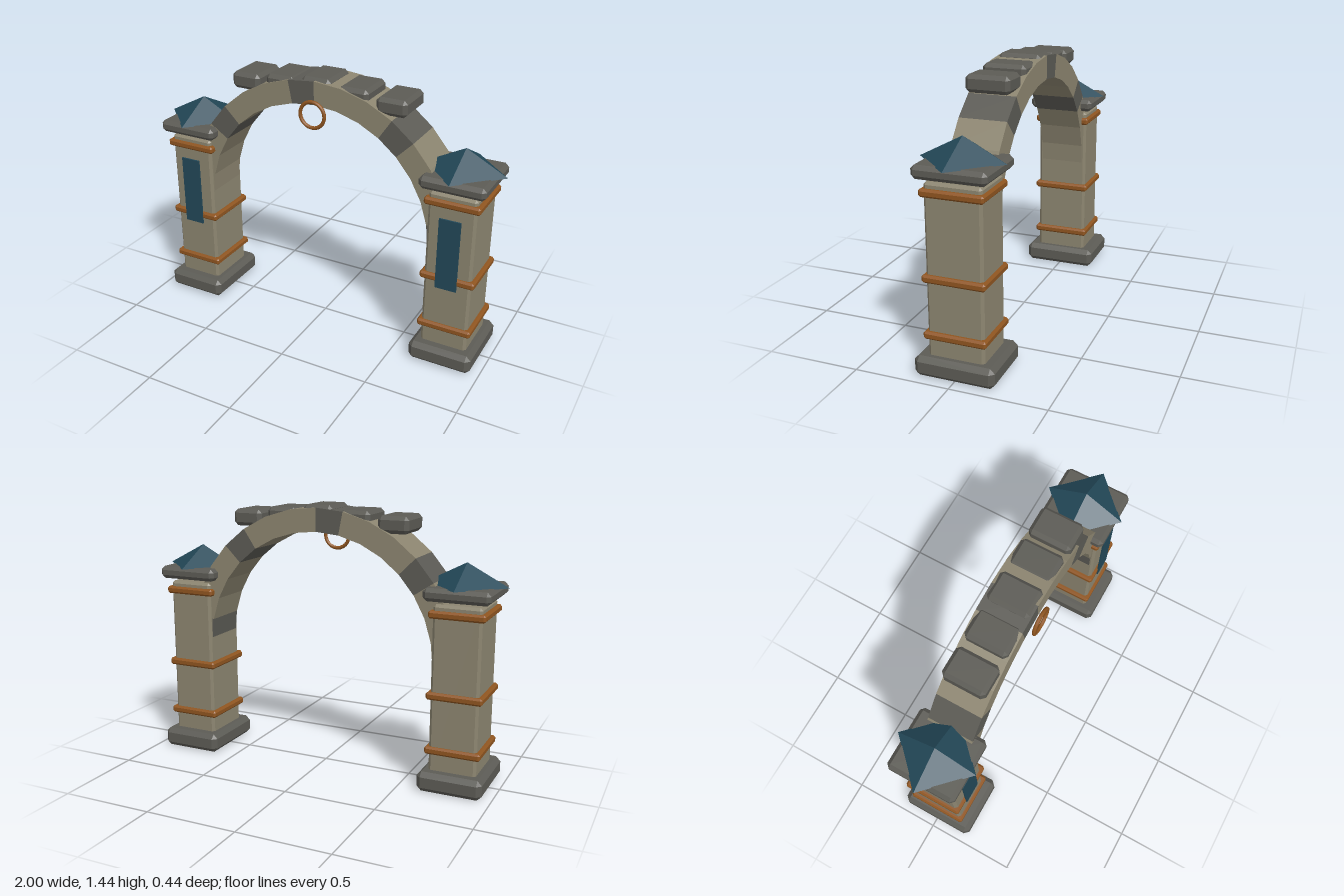
import * as THREE from 'three';
import { ConvexGeometry } from 'three/addons/geometries/ConvexGeometry.js';

const sandstone = new THREE.MeshStandardMaterial({ name: 'sandstone', color: 0x8c8570 });
const darkStone = new THREE.MeshStandardMaterial({ name: 'dark stone', color: 0x5c5b55 });
const teal = new THREE.MeshStandardMaterial({ name: 'teal', color: 0x234858 });
const copper = new THREE.MeshStandardMaterial({ name: 'copper', color: 0x8f5520 });

function add(parent, name, geometry, material, x = 0, y = 0, z = 0) {
  const mesh = new THREE.Mesh(geometry, material);
  mesh.name = name;
  mesh.position.set(x, y, z);
  parent.add(mesh);
  return mesh;
}

// Box with every edge cut at 45 degrees
function chamferBox(w, h, d, b) {
  const points = [];
  const [x, y, z] = [w / 2, h / 2, d / 2];
  for (const sx of [-1, 1]) for (const sy of [-1, 1]) for (const sz of [-1, 1]) {
    points.push(
      new THREE.Vector3(sx * x, sy * (y - b), sz * (z - b)),
      new THREE.Vector3(sx * (x - b), sy * y, sz * (z - b)),
      new THREE.Vector3(sx * (x - b), sy * (y - b), sz * z));
  }
  return new ConvexGeometry(points);
}

function createPillar(name, x) {
  const pillar = new THREE.Group();
  pillar.name = name;
  pillar.position.x = x;
  add(pillar, 'base', chamferBox(0.347, 0.107, 0.42, 0.025), darkStone, 0, 0.0535);
  add(pillar, 'shaft', chamferBox(0.254, 0.93, 0.294, 0.014), sandstone, 0, 0.517);
  for (const y of [0.215, 0.508, 0.931]) {
    add(pillar, 'band', chamferBox(0.295, 0.04, 0.326, 0.01), copper, 0, y);
  }
  add(pillar, 'cap', chamferBox(0.347, 0.068, 0.378, 0.02), darkStone, 0, 1.034);
  // Four-sided roof with its corners on the axes
  const roof = new THREE.ConeGeometry(0.22, 0.115, 4).toNonIndexed();
  roof.computeVertexNormals();
  add(pillar, 'roof', roof, teal, 0, 1.1225);
  add(pillar, 'frontPanel', new THREE.BoxGeometry(0.115, 0.396, 0.009), teal, 0, 0.657, 0.163);
  return pillar;
}

// Half ring of wedge blocks, every fourth one dark
function createArch() {
  const arch = new THREE.Group();
  arch.name = 'arch';
  const count = 16, inner = 0.655, outer = 0.78, depth = 0.252;
  for (let i = 0; i < count; i++) {
    const a = (i / count) * Math.PI, b = ((i + 1) / count) * Math.PI;
    const corner = (r, t) => new THREE.Vector2(r * Math.cos(t), r * Math.sin(t));
    const shape = new THREE.Shape([corner(inner, a), corner(outer, a), corner(outer, b), corner(inner, b)]);
    const block = new THREE.ExtrudeGeometry(shape, { depth, bevelEnabled: false });
    add(arch, 'archBlock', block, i % 4 === 0 ? darkStone : sandstone, 0, 0.65, -depth / 2);
  }
  return arch;
}

export function createModel() {
  const model = new THREE.Group();
  model.name = 'stoneArchway';
  model.add(createPillar('leftPillar', 0.78), createPillar('rightPillar', -0.78), createArch());

  // Stones along the crown, lower toward the sides
  for (let i = -2; i <= 2; i++) {
    const y = 1.398 - 0.02 * Math.abs(i);
    add(model, 'crownStone', chamferBox(0.168, 0.09, 0.234, 0.02), darkStone, i * 0.21, y);
  }

  // Ring hanging in front of the keystone
  add(model, 'ring', new THREE.TorusGeometry(0.07, 0.01, 8, 24), copper, 0, 1.257, 0.144);
  return model;
}
